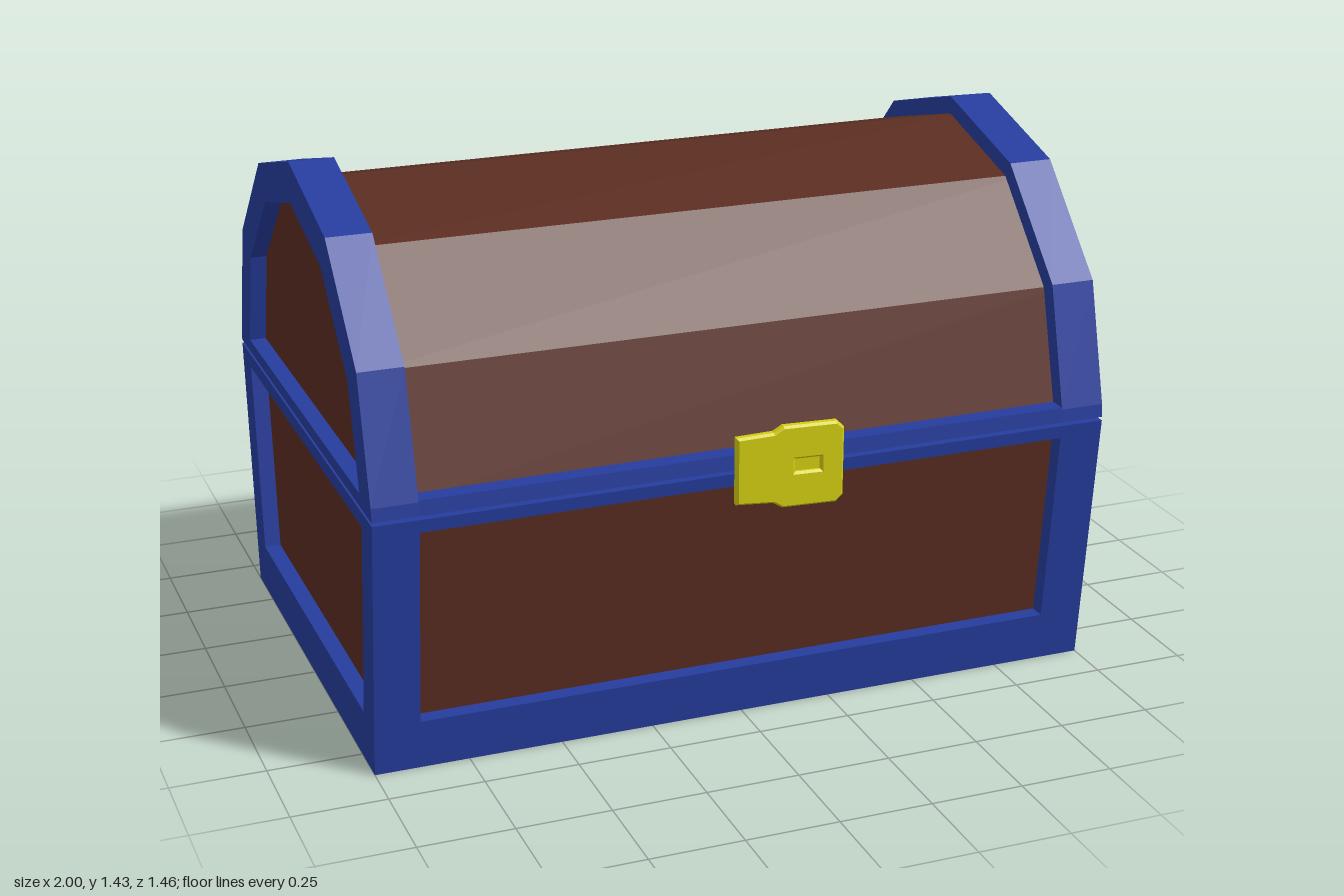
import * as THREE from 'three';

const blue = new THREE.MeshStandardMaterial({ color: 0x263c9c, flatShading: true });
const brown = new THREE.MeshStandardMaterial({ color: 0x5a2c20, flatShading: true });
const yellow = new THREE.MeshStandardMaterial({ color: 0xd2ce10, flatShading: true });

const toPoints = (list) => list.map(([a, b]) => new THREE.Vector2(a, b));

// Complete a symmetric side profile from its front half (listed from bottom to top)
const mirrored = (half) => [
  ...half,
  ...half.filter(([z]) => z > 0).reverse().map(([z, y]) => [-z, y]),
];

// Extrude a (z, y) profile along x between x0 and x1
function extrudeX(name, profile, x0, x1, material, hole) {
  const shape = new THREE.Shape(toPoints(profile));
  if (hole) shape.holes.push(new THREE.Path(toPoints(hole)));
  const geometry = new THREE.ExtrudeGeometry(shape, { depth: x1 - x0, bevelEnabled: false });
  geometry.rotateY(-Math.PI / 2).translate(x1, 0, 0);
  const mesh = new THREE.Mesh(geometry, material);
  mesh.name = name;
  return mesh;
}

const END = 1, RIB = 0.88, PANEL = 0.955;

// End frames, recessed panel body and front/back rails of one half of the chest
function buildHalf(name, outer, hole, body, rails) {
  const half = new THREE.Group();
  half.name = name;
  half.add(extrudeX(name + 'Panels', mirrored(body), -PANEL, PANEL, brown));
  half.add(extrudeX(name + 'LeftFrame', mirrored(outer), RIB, END, blue, mirrored(hole)));
  half.add(extrudeX(name + 'RightFrame', mirrored(outer), -END, -RIB, blue, mirrored(hole)));
  for (const rail of rails) {
    half.add(extrudeX(name + 'FrontRail', rail, -RIB, RIB, blue));
    half.add(extrudeX(name + 'BackRail', rail.map(([z, y]) => [-z, y]), -RIB, RIB, blue));
  }
  return half;
}

// Clasp plate with a narrower hinge side, chamfered corners and a keyhole
function buildLatch() {
  const latch = new THREE.Group();
  latch.name = 'latch';
  const shape = new THREE.Shape(toPoints([
    [-0.14, -0.085], [-0.045, -0.09], [-0.02, -0.105], [0.12, -0.105], [0.135, -0.09],
    [0.135, 0.09], [0.12, 0.105], [-0.02, 0.105], [-0.045, 0.09], [-0.14, 0.085],
  ]));
  shape.holes.push(new THREE.Path(toPoints([[0.005, -0.022], [0.085, -0.022], [0.085, 0.025], [0.005, 0.025]])));
  const plate = new THREE.Mesh(new THREE.ExtrudeGeometry(shape, {
    depth: 0.014, bevelEnabled: true, bevelSize: 0.006, bevelThickness: 0.007, bevelSegments: 1,
  }), yellow);
  plate.name = 'latchPlate';
  const keyhole = new THREE.Mesh(new THREE.BoxGeometry(0.1, 0.07, 0.008), yellow);
  keyhole.name = 'keyholeBack';
  keyhole.position.set(0.045, 0, 0.004);
  latch.add(plate, keyhole);
  latch.position.set(0.09, 0.72, 0.7);
  latch.rotation.y = -0.08;
  return latch;
}

export function createModel() {
  const chest = new THREE.Group();
  chest.name = 'chest';
  const shell = new THREE.Group();
  shell.name = 'shell';
  shell.position.z = -0.02;

  // Tapered lower box
  shell.add(buildHalf('base',
    [[0.64, 0], [0.71, 0.71]],
    [[0.55, 0.135], [0.61, 0.67]],
    [[0.6, 0.045], [0.665, 0.7]],
    [
      [[0.53, 0], [0.64, 0], [0.6533, 0.135], [0.53, 0.135]],
      [[0.6, 0.675], [0.7066, 0.675], [0.71, 0.71], [0.6, 0.71]],
    ]));

  // Faceted barrel lid
  shell.add(buildHalf('lid',
    [[0.71, 0.72], [0.706, 0.755], [0.62, 1.075], [0.36, 1.337], [0, 1.435]],
    [[0.6, 0.755], [0.53, 1.02], [0.3, 1.245], [0, 1.325]],
    [[0.665, 0.73], [0.575, 1.055], [0.335, 1.296], [0, 1.387]],
    [[[0.6, 0.72], [0.71, 0.72], [0.706, 0.76], [0.6, 0.76]]]));

  // Filling that shows only through the slit under the lid
  const filling = new THREE.Mesh(new THREE.BoxGeometry(1, 0.04, 0.56), blue);
  filling.name = 'innerFilling';
  filling.position.y = 0.715;
  shell.add(filling);

  chest.add(shell, buildLatch());
  return chest;
}
